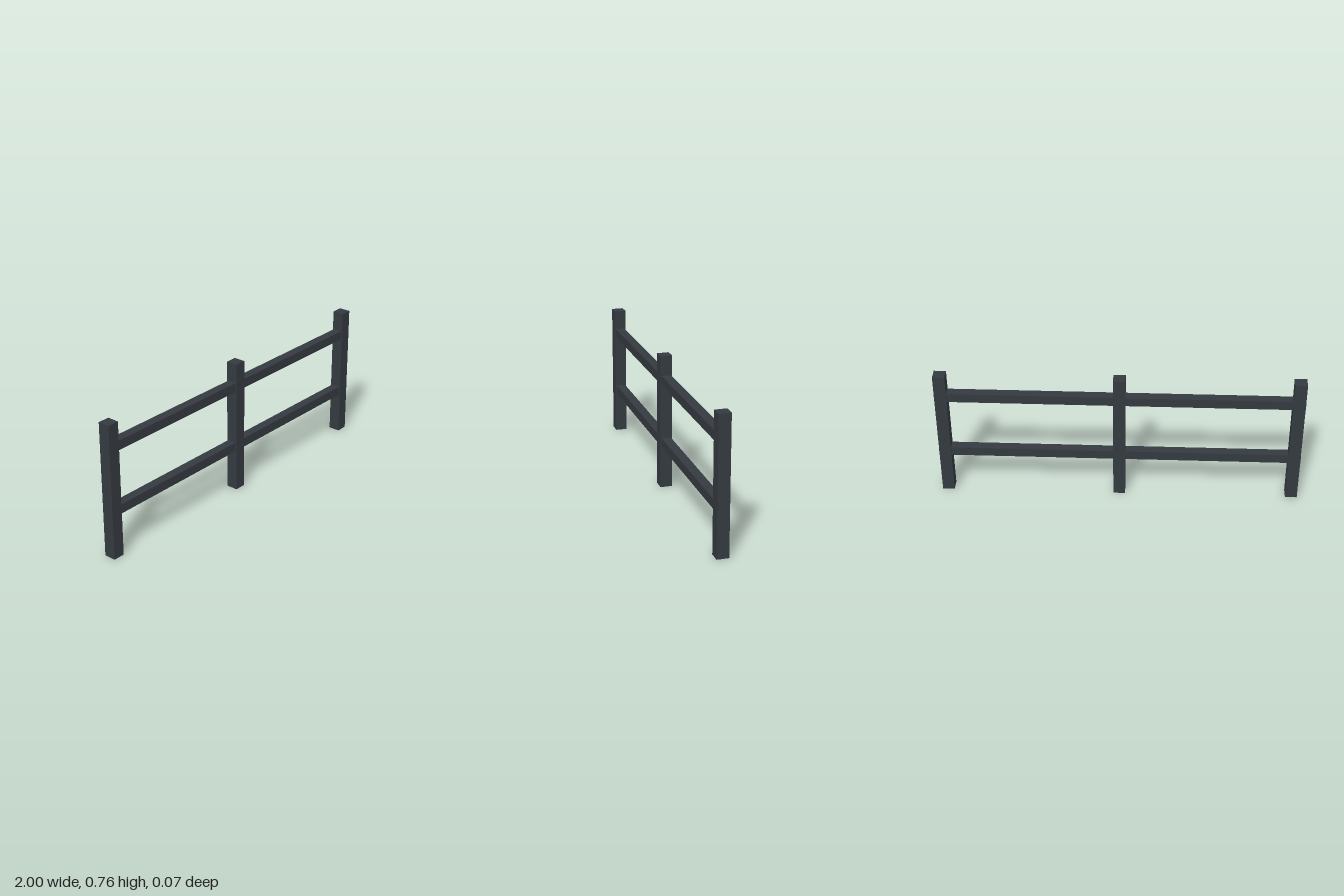
import * as THREE from 'three';

export function createModel() {
  const model = new THREE.Group();
  model.name = 'fence';

  const darkGrey = new THREE.MeshStandardMaterial({ color: 0x343a40 });
  darkGrey.name = 'darkGrey';

  function addBox(name, size, position) {
    const mesh = new THREE.Mesh(new THREE.BoxGeometry(...size), darkGrey);
    mesh.name = name;
    mesh.position.set(...position);
    model.add(mesh);
  }

  // Three square posts
  const postHeight = 0.758;
  const postWidth = 0.066;
  const posts = { rightPost: -0.965, middlePost: 0, leftPost: 0.965 };
  for (const [name, x] of Object.entries(posts)) {
    addBox(name, [postWidth, postHeight, postWidth], [x, postHeight / 2, 0]);
  }

  // Two square rails running through the posts, their ends just proud of them
  const rails = { lowerRail: 0.263, upperRail: 0.622 };
  for (const [name, y] of Object.entries(rails)) {
    addBox(name, [2, 0.052, 0.052], [0, y, 0]);
  }

  return model;
}
